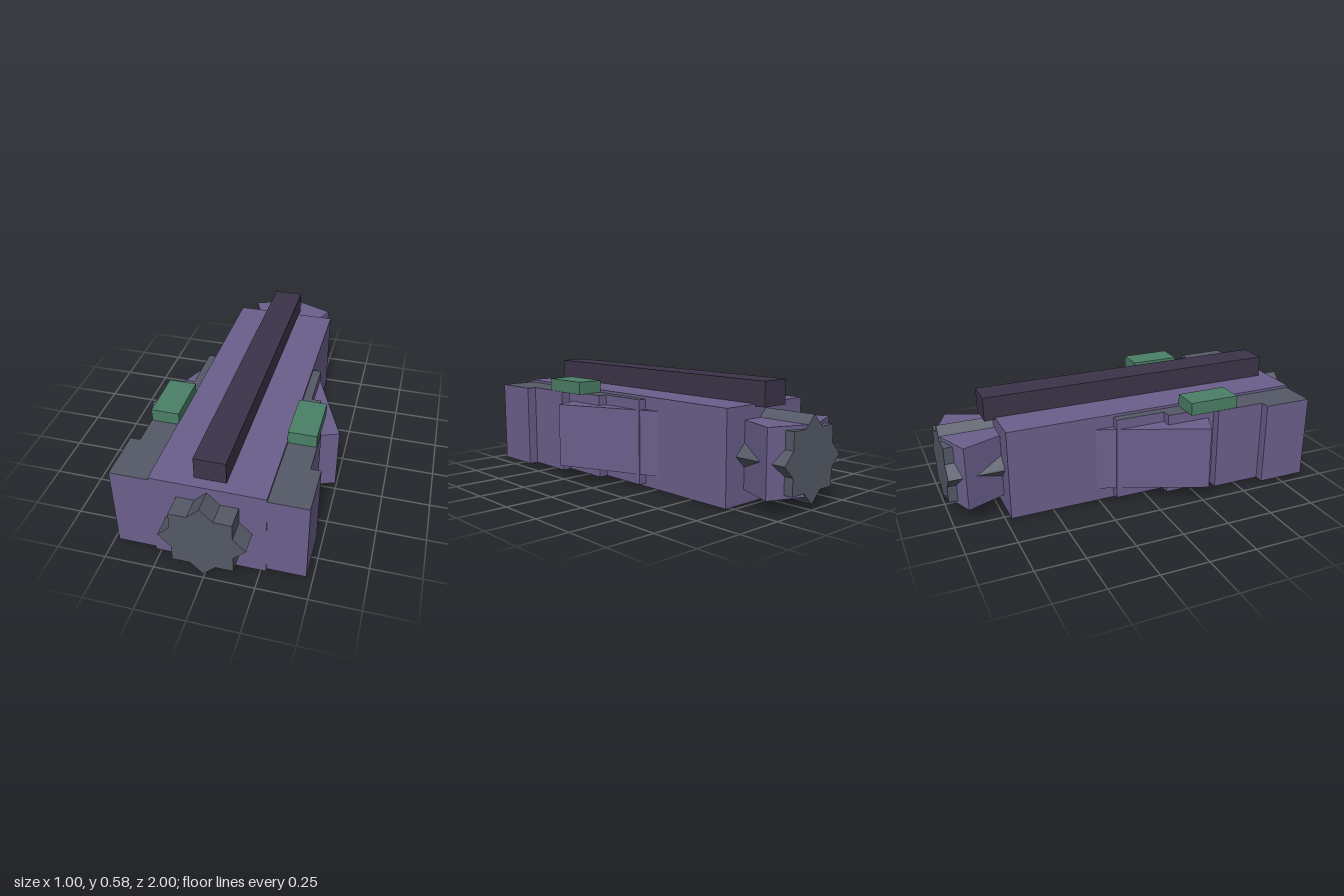
import * as THREE from 'three';

const paint = (name, color) => {
  const m = new THREE.MeshStandardMaterial({ color });
  m.name = name;
  return m;
};

export function createModel() {
  const model = new THREE.Group();
  const purple = paint('purple', 0x6b5f8b);
  const grey = paint('slate grey', 0x545966);
  const dark = paint('dark violet', 0x3b3449);
  const green = paint('green', 0x4a7f66);

  const add = (name, geometry, material) => {
    const mesh = new THREE.Mesh(geometry, material);
    mesh.name = name;
    model.add(mesh);
  };
  // Box from its limits on each axis
  const box = (name, x0, x1, y0, y1, z0, z1, material) => {
    const g = new THREE.BoxGeometry(x1 - x0, y1 - y0, z1 - z0);
    g.translate((x0 + x1) / 2, (y0 + y1) / 2, (z0 + z1) / 2);
    add(name, g, material);
  };
  // Upright prism from an [x, z] outline
  const prism = (name, outline, y0, y1, material) => {
    const shape = new THREE.Shape(outline.map(([x, z]) => new THREE.Vector2(x, z)));
    const g = new THREE.ExtrudeGeometry(shape, { depth: y1 - y0, bevelEnabled: false });
    g.rotateX(Math.PI / 2).translate(0, y1, 0);
    add(name, g, material);
  };

  // Hull and the long top rail
  box('hull', -0.277, 0.277, 0, 0.471, -0.72, 0.89, purple);
  box('topRail', -0.077, 0.077, 0.46, 0.583, -0.775, 0.833, dark);

  // Eight-pointed core running through the whole hull
  const points = [];
  for (let i = 0; i < 16; i++) {
    const a = i * Math.PI / 8, r = i % 2 ? 0.1605 : 0.21;
    points.push(new THREE.Vector2(r * Math.cos(a), r * Math.sin(a)));
  }
  const core = new THREE.ExtrudeGeometry(new THREE.Shape(points), { depth: 2, bevelEnabled: false });
  add('starCore', core.translate(0, 0.237, -1), grey);

  // Stepped flanks: outer width and z range of each step
  const steps = [[0.47, 0.63, 0.888], [0.42, 0.365, 0.63], [0.37, 0.1, 0.365], [0.321, -0.165, 0.1]];
  const greyTop = [purple, purple, grey, purple, purple, purple];

  for (const side of [1, -1]) {
    const label = side > 0 ? 'left' : 'right';
    const span = (a, b) => (side > 0 ? [a, b] : [-b, -a]);
    const mirror = (outline) => outline.map(([x, z]) => [side * x, z]);

    steps.forEach(([w, z0, z1], i) =>
      box(`${label}FlankStep${i + 1}`, ...span(0.25, w), 0.017, 0.457, z0, z1, greyTop));
    box(`${label}RoofBlock`, ...span(0.275, 0.417), 0.455, 0.522, 0.207, 0.473, green);

    // Slanted side wing, its rear end buried in the hull
    prism(`${label}Wing`, mirror([[0.5, 0.28], [0.367, 0.335], [0.1, -0.31], [0.233, -0.366]]),
      0.07, 0.404, purple);
    // Flared fin at the tail
    prism(`${label}TailFin`, mirror([[0.233, -0.918], [0.04, -0.998], [0.04, -0.7], [0.143, -0.7]]),
      0.07, 0.404, purple);
  }
  return model;
}
